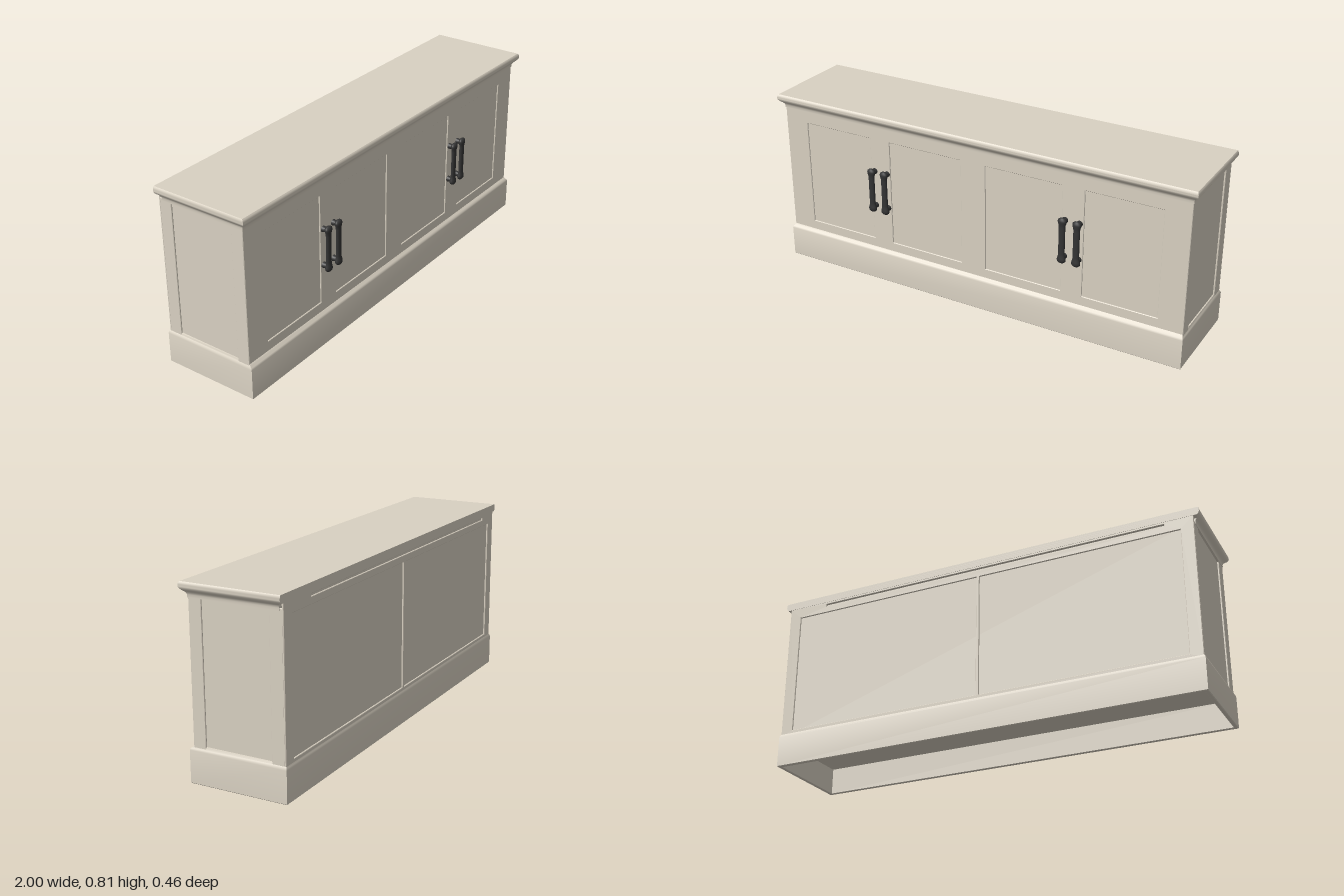
import * as THREE from 'three';
import { toCreasedNormals } from 'three/addons/utils/BufferGeometryUtils.js';

const paint = new THREE.MeshStandardMaterial({ color: 0xd9d1c2 });
paint.name = 'cream paint';
const iron = new THREE.MeshStandardMaterial({ color: 0x343434 });
iron.name = 'dark iron';

function add(parent, name, geometry, material, x = 0, y = 0, z = 0) {
  const mesh = new THREE.Mesh(geometry, material);
  mesh.name = name;
  mesh.position.set(x, y, z);
  parent.add(mesh);
  return mesh;
}

// Joins rectangular loops [halfWidth, frontZ, backZ, y] into a moulded skin
function rectLoft(loops) {
  const corners = loops.map(([x, f, b, y]) => [[-x, y, f], [x, y, f], [x, y, b], [-x, y, b]]);
  const pos = [];
  for (let i = 0; i < corners.length - 1; i++) {
    for (let k = 0; k < 4; k++) {
      const n = (k + 1) % 4;
      const a = corners[i][k], b = corners[i][n], c = corners[i + 1][n], d = corners[i + 1][k];
      pos.push(...a, ...b, ...c, ...a, ...c, ...d);
    }
  }
  const geometry = new THREE.BufferGeometry();
  geometry.setAttribute('position', new THREE.Float32BufferAttribute(pos, 3));
  geometry.computeVertexNormals();
  return toCreasedNormals(geometry, 0.7);
}

// Flat frame with rectangular openings, each rectangle given as [x0, y0, x1, y1]
function frame(outer, holes, depth) {
  const trace = (path, [x0, y0, x1, y1]) =>
    path.moveTo(x0, y0).lineTo(x1, y0).lineTo(x1, y1).lineTo(x0, y1).closePath();
  const shape = new THREE.Shape();
  trace(shape, outer);
  for (const h of holes) {
    const hole = new THREE.Path();
    trace(hole, h);
    shape.holes.push(hole);
  }
  const bevel = 0.002;
  const geometry = new THREE.ExtrudeGeometry(shape, {
    depth: depth - 2 * bevel, bevelThickness: bevel, bevelSize: bevel,
    bevelOffset: -bevel, bevelSegments: 1,
  });
  return geometry.translate(0, 0, bevel);
}

// Pull handle: broad flattened bar with rounded ends and two flared posts
function createHandle(name) {
  const handle = new THREE.Group();
  handle.name = name;
  const profile = [[0, -0.104], [0.007, -0.102], [0.0115, -0.096], [0.0125, -0.088], [0.0115, -0.08],
    [0.0095, -0.07], [0.009, -0.06], [0.009, 0.06], [0.0095, 0.07], [0.0115, 0.08], [0.0125, 0.088],
    [0.0115, 0.096], [0.007, 0.102], [0, 0.104]].map(([r, y]) => new THREE.Vector2(r, y));
  add(handle, 'handleBar', new THREE.LatheGeometry(profile, 24), iron, 0, 0, 0.2175).scale.x = 1.6;
  const post = [[0.014, 0.186], [0.013, 0.194], [0.011, 0.202], [0.011, 0.217]]
    .map(([r, z]) => new THREE.Vector2(r, z));
  for (const y of [-0.083, 0.083]) {
    add(handle, 'handlePost', new THREE.LatheGeometry(post, 16), iron, 0, y, 0).rotation.x = Math.PI / 2;
  }
  return handle;
}

export function createModel() {
  const cabinet = new THREE.Group();
  cabinet.name = 'sideboard';

  // Carcass behind the frames; its faces are the recessed panels
  add(cabinet, 'carcass', new THREE.BoxGeometry(1.936, 0.615, 0.403), paint, 0, 0.4425, -0.0165);

  // Hollow plinth: underside, inner walls, rim, outer walls, moulded top
  add(cabinet, 'plinth', rectLoft([
    [0, 0, 0, 0.12], [0.964, 0.189, -0.213, 0.12], [0.964, 0.189, -0.213, 0.002],
    [0.966, 0.191, -0.215, 0], [0.978, 0.203, -0.227, 0], [0.981, 0.206, -0.23, 0.003],
    [0.981, 0.206, -0.23, 0.138], [0.979, 0.203, -0.228, 0.146],
    [0.975, 0.195, -0.225, 0.151], [0.973, 0.189, -0.223, 0.158], [0.964, 0.182, -0.215, 0.16],
  ]), paint);

  // Crown with cove and rounded nose; its back is rebated behind the vent slot
  const nose = [[0.972, 0.187, 0.745], [0.977, 0.192, 0.746], [0.977, 0.192, 0.757], [0.979, 0.195, 0.764],
    [0.984, 0.2, 0.77], [0.991, 0.208, 0.776], [0.997, 0.214, 0.783], [1, 0.217, 0.79],
    [1, 0.217, 0.798], [0.998, 0.214, 0.806], [0.995, 0.21, 0.81]];
  add(cabinet, 'crownTop', rectLoft([
    [0, 0, 0, 0.745],
    ...nose.map(([x, f, y]) => [x, f, y < 0.775 ? -0.208 : -0.226, y]),
    [0, 0, 0, 0.81],
  ]), paint);

  // Front frame with four door panels
  const doors = [[-0.86, -0.52], [-0.42, -0.06], [0.06, 0.42], [0.52, 0.86]];
  add(cabinet, 'frontFrame', frame([-0.972, 0.14, 0.972, 0.75],
    doors.map(([a, b]) => [a, 0.2, b, 0.69]), 0.007), paint, 0, 0, 0.183);

  // Side frames, running from the plinth up to the crown; the right mirrors the left
  for (const s of [-1, 1]) {
    const sideShape = s > 0
      ? frame([-0.19, 0.13, 0.22, 0.755], [[-0.133, 0.14, 0.163, 0.747]], 0.008)
      : frame([-0.22, 0.13, 0.19, 0.755], [[-0.163, 0.14, 0.133, 0.747]], 0.008);
    add(cabinet, s > 0 ? 'leftSideFrame' : 'rightSideFrame', sideShape, paint, s * 0.967)
      .rotation.y = s * Math.PI / 2;
  }

  // Back frame with two panels, a narrow centre stile and a long vent slot
  add(cabinet, 'backFrame', frame([-0.975, 0.14, 0.975, 0.778], [
    [-0.918, 0.165, -0.007, 0.725], [0.007, 0.165, 0.918, 0.725], [-0.78, 0.756, 0.85, 0.766],
  ], 0.008), paint, 0, 0, -0.217).rotation.y = Math.PI;

  // Two pairs of handles at the meeting doors
  for (const s of [-1, 1]) {
    for (const [label, x] of [['inner', 0.436], ['outer', 0.502]]) {
      const handle = createHandle(label + (s > 0 ? 'LeftHandle' : 'RightHandle'));
      handle.position.set(s * x, 0.455, 0);
      cabinet.add(handle);
    }
  }
  return cabinet;
}
